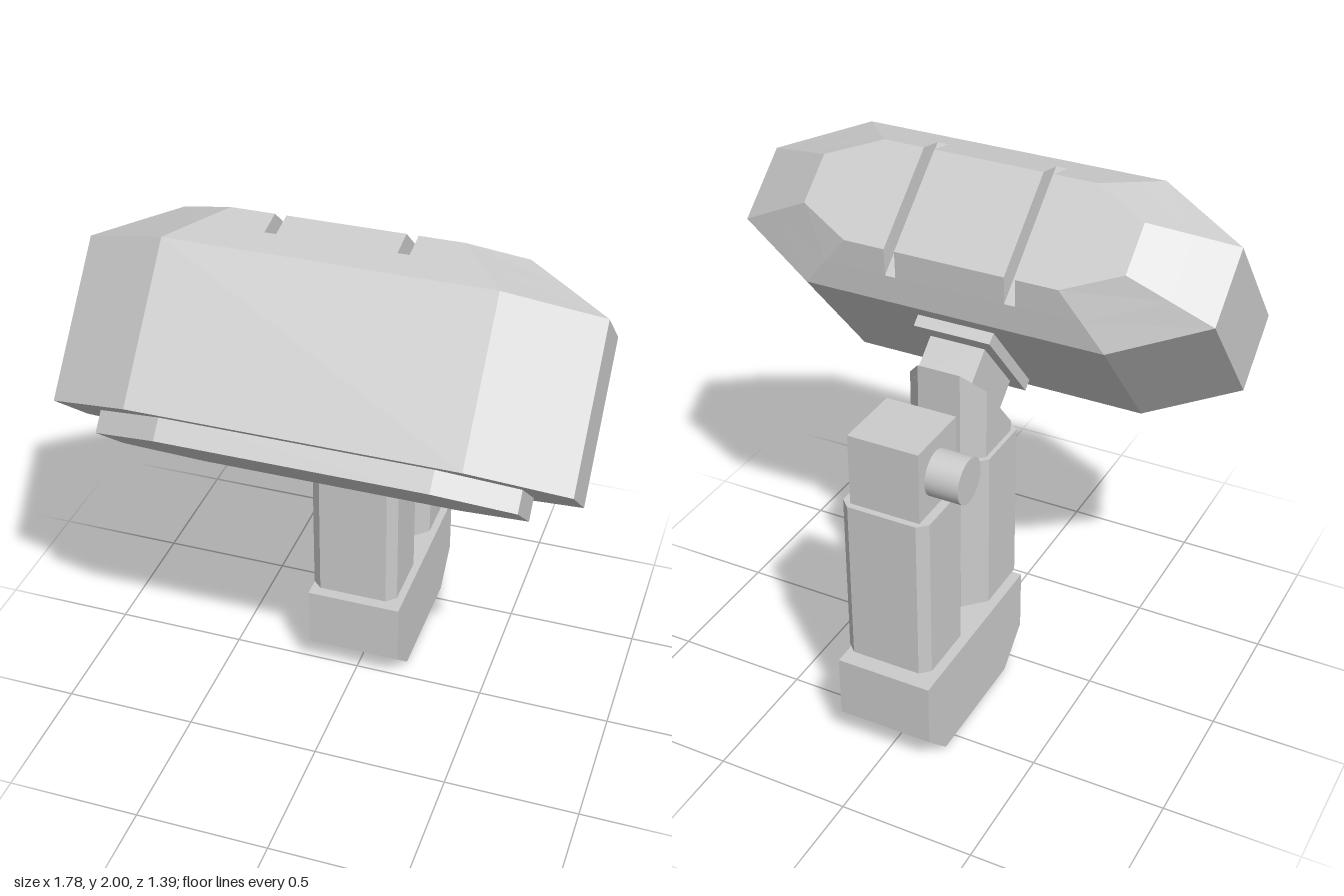
import * as THREE from 'three';

const material = new THREE.MeshStandardMaterial({ color: 0xcccccc, flatShading: true });

// Faceted solid through convex rings [points [x, z], height]; height may depend on z.
function loft(...rings) {
  const pts = rings[0][0];
  const area = pts.reduce((s, p, i) => {
    const q = pts[(i + 1) % pts.length];
    return s + p[0] * q[1] - q[0] * p[1];
  }, 0);
  const levels = rings.map(([ring, h]) => {
    const out = ring.map(([x, z]) => [x, typeof h === 'function' ? h(z) : h, z]);
    return area < 0 ? out.reverse() : out;
  });
  const pos = [];
  const tri = (a, b, c) => pos.push(...a, ...b, ...c);
  const n = pts.length;
  for (let l = 0; l < levels.length - 1; l++) {
    const b = levels[l], t = levels[l + 1];
    for (let i = 0; i < n; i++) {
      const j = (i + 1) % n;
      tri(b[i], t[i], t[j]);
      tri(b[i], t[j], b[j]);
    }
  }
  const bottom = levels[0], top = levels[levels.length - 1];
  for (let k = 1; k < n - 1; k++) {
    tri(bottom[0], bottom[k], bottom[k + 1]);
    tri(top[0], top[k + 1], top[k]);
  }
  const g = new THREE.BufferGeometry();
  g.setAttribute('position', new THREE.Float32BufferAttribute(pos, 3));
  g.computeVertexNormals();
  return g;
}

const rect = (x0, x1, z0, z1) => [[x0, z0], [x1, z0], [x1, z1], [x0, z1]];

// Stretched octagon: long edge to x = xi at z = zo, end edge at x = xo up to z = zi
const octagon = (xi, zo, xo, zi) => [
  [xi, zo], [xo, zi], [xo, -zi], [xi, -zo], [-xi, -zo], [-xo, -zi], [-xo, zi], [-xi, zo]];

// Post section: narrow chamfers outside, wide ones inside; dir flips it in z
const postSection = (zc, dir, s = 1) => [
  [0.13, 0.163], [0.165, 0.13], [0.165, -0.088], [0.09, -0.163],
  [-0.09, -0.163], [-0.165, -0.088], [-0.165, 0.13], [-0.13, 0.163],
].map(([x, z]) => [x * s, zc + dir * z * s]);

export function createModel() {
  const model = new THREE.Group();
  model.name = 'floodlight';

  const add = (parent, name, geometry, x = 0, y = 0, z = 0) => {
    const m = new THREE.Mesh(geometry, material);
    m.name = name;
    m.position.set(x, y, z);
    parent.add(m);
    return m;
  };

  // Base with chamfered underside ends
  const foot = rect(-0.18, 0.18, -0.695, 0.05);
  add(model, 'base', loft([rect(-0.18, 0.18, -0.57, -0.085), 0], [foot, 0.125], [foot, 0.365]));

  // Two posts on collars
  for (const [name, zc, dir] of [['front', -0.11, 1], ['rear', -0.508, -1]]) {
    add(model, name + 'Collar', new THREE.BoxGeometry(0.18, 0.06, 0.19), 0, 0.385, zc + 0.008 * dir);
    const s = postSection(zc, dir);
    add(model, name + 'Post', loft([s, 0.405], [s, 1.03]));
  }

  // Rear post: block with a side knob
  add(model, 'rearBlock', new THREE.BoxGeometry(0.264, 0.275, 0.265), 0, 1.1625, -0.515);
  const knob = new THREE.Mesh(
    new THREE.CylinderGeometry(0.083, 0.083, 0.13, 32),
    new THREE.MeshStandardMaterial({ color: 0xcccccc }));
  knob.name = 'knob';
  knob.rotation.z = Math.PI / 2;
  knob.position.set(-0.19, 1.165, -0.526);
  model.add(knob);

  // Front post: top cut on a slant to carry the head
  const cut = postSection(-0.11, 1, 0.9);
  add(model, 'wedge', loft([cut, 1.025], [cut, (z) => 1.035 + (0.037 - z) * 1.16]));

  // Tilted head: local +y is its back, local -z is the mounting side
  const head = new THREE.Group();
  head.name = 'head';
  head.position.set(0, 1.534, 0.259);
  head.rotation.x = -0.714;
  model.add(head);

  const wide = octagon(0.565, 0.32, 0.89, 0.145);
  const mid = octagon(0.4825, 0.2575, 0.745, 0.12);
  add(head, 'housing', loft([wide, -0.287], [wide, 0.287], [mid, 0.367]));
  const lens = octagon(0.465, 0.26, 0.725, 0.125);
  add(head, 'lens', loft([lens, -0.366], [lens, -0.28]));

  // Upper back cap, split by two grooves
  add(head, 'capMiddle', loft(
    [rect(-0.205, 0.205, -0.2575, 0.2575), 0.367],
    [rect(-0.205, 0.205, -0.195, 0.195), 0.446]));
  for (const s of [1, -1]) {
    const end = (xi, zo, xo, zi) => [
      [0.245, zo], [xi, zo], [xo, zi], [xo, -zi], [xi, -zo], [0.245, -zo],
    ].map(([x, z]) => [s * x, z]);
    add(head, s > 0 ? 'capLeft' : 'capRight', loft(
      [end(0.4825, 0.2575, 0.745, 0.12), 0.367],
      [end(0.4, 0.195, 0.6, 0.095), 0.446]));
  }

  // Mount between head and wedge
  add(head, 'mountPlate', new THREE.BoxGeometry(0.29, 0.45, 0.05), 0, 0, -0.337);
  add(head, 'neck', new THREE.BoxGeometry(0.21, 0.31, 0.18), 0, 0, -0.43);

  return model;
}
